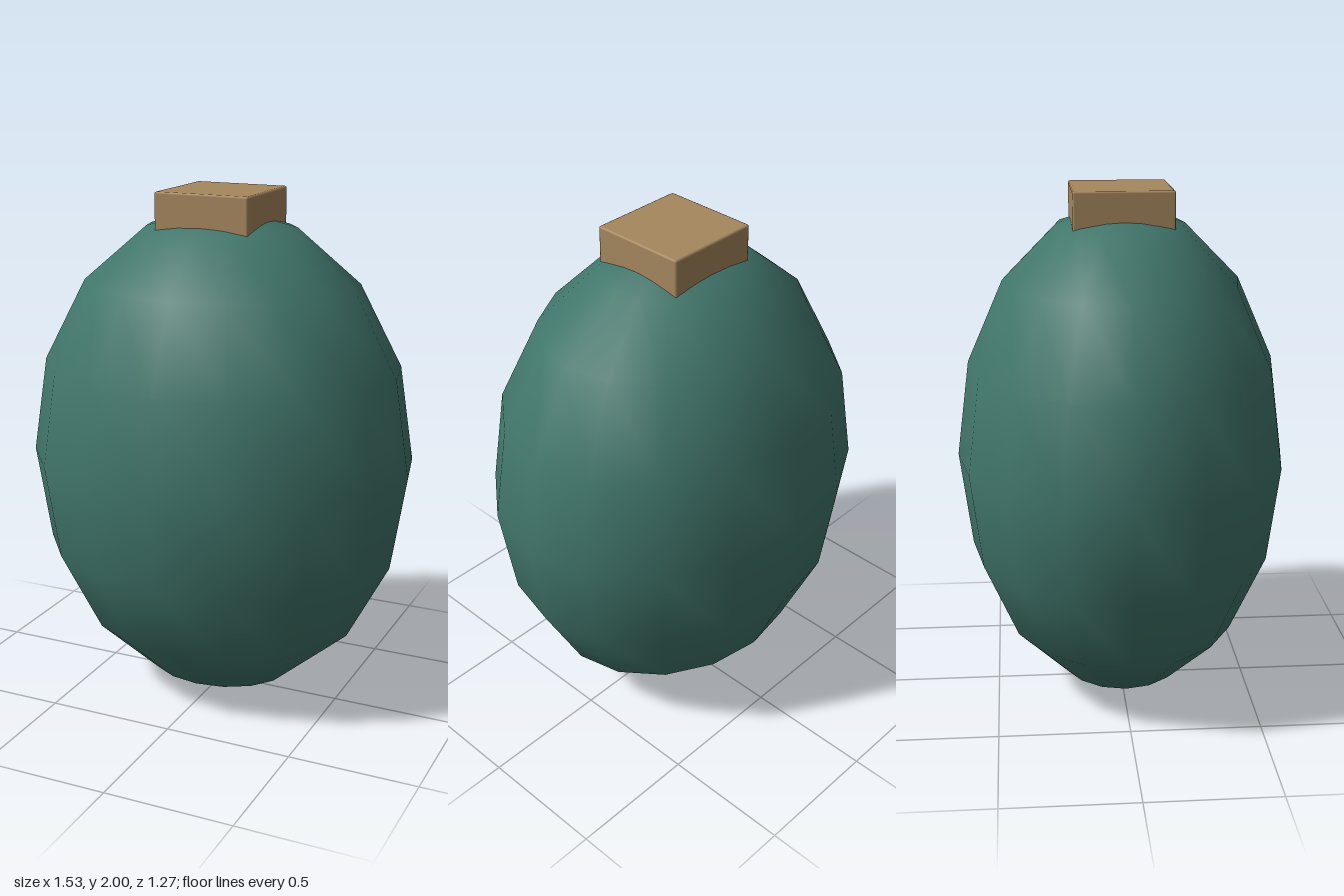
import * as THREE from 'three';
import { RoundedBoxGeometry } from 'three/addons/geometries/RoundedBoxGeometry.js';

export function createModel() {
  const model = new THREE.Group();
  model.name = 'eggBody';

  const addPart = (name, geometry, color, y) => {
    const mesh = new THREE.Mesh(geometry, new THREE.MeshStandardMaterial({ color }));
    mesh.name = name;
    mesh.position.y = y;
    model.add(mesh);
    return mesh;
  };

  // Smooth-shaded, low-poly ellipsoid standing on its pole
  const height = 0.967;
  const body = new THREE.SphereGeometry(1, 16, 8).scale(0.763, height, 0.635);
  addPart('body', body, 0x41766b, height);

  // Square block sunk into the top, with slightly softened edges
  const capHeight = 0.19;
  const cap = new RoundedBoxGeometry(0.376, capHeight, 0.376, 1, 0.008);
  addPart('topBlock', cap, 0xa5875d, 2 - capHeight / 2);

  return model;
}
